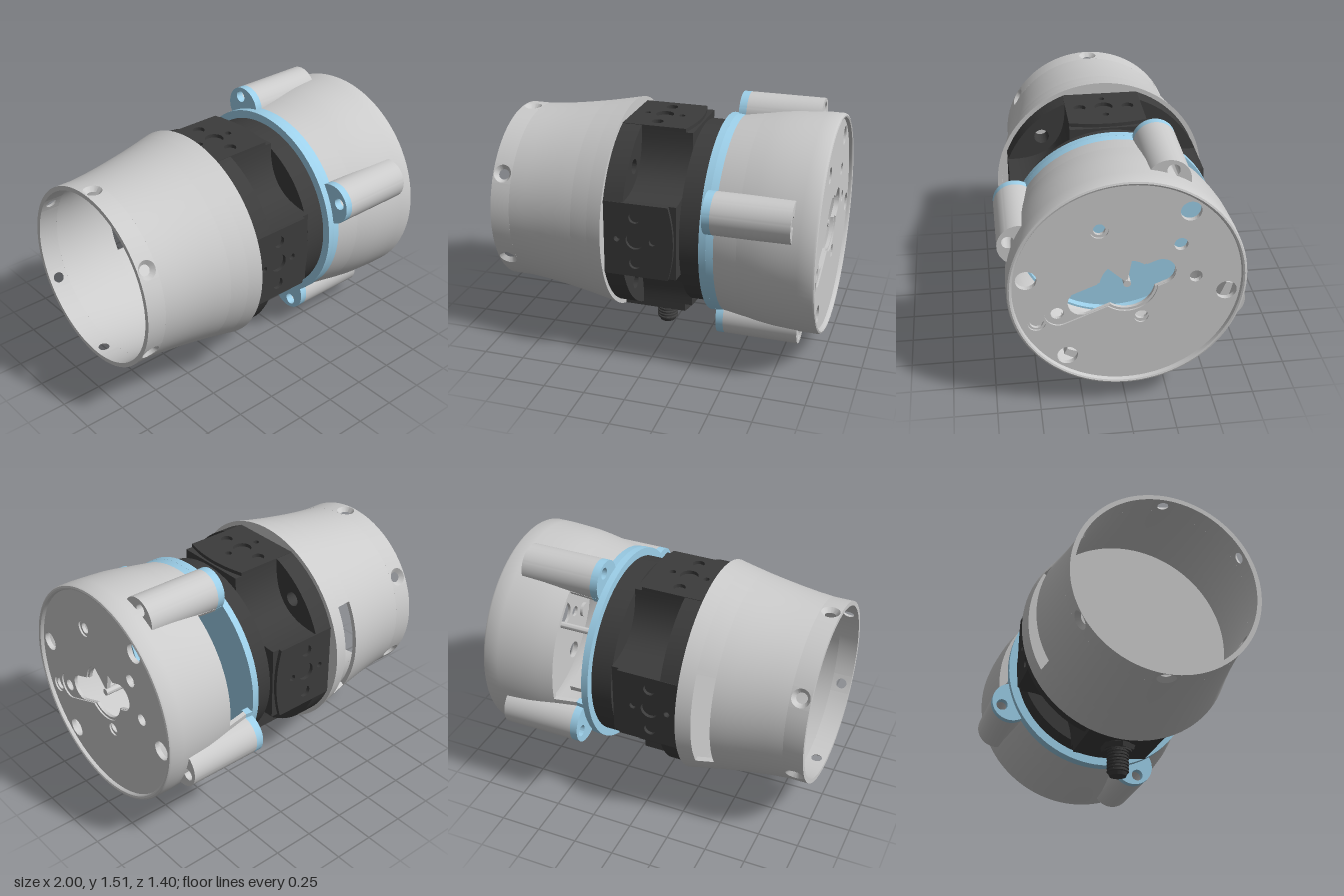
import * as THREE from 'three';
import { toCreasedNormals } from 'three/addons/utils/BufferGeometryUtils.js';
import { ParametricGeometry } from 'three/addons/geometries/ParametricGeometry.js';

const grey = new THREE.MeshStandardMaterial({ color: 0xcccccc, side: THREE.DoubleSide });
const dark = new THREE.MeshStandardMaterial({ color: 0x3c3c3c, side: THREE.DoubleSide });
const blue = new THREE.MeshStandardMaterial({ color: 0x9dd0ea, side: THREE.DoubleSide });
const rad = THREE.MathUtils.degToRad;
const V = (x, y) => new THREE.Vector2(x, y);

const circle = (x, y, r) => new THREE.Path().absarc(x, y, r, 0, Math.PI * 2);
const disc = (x, y, r) => new THREE.Shape().absarc(x, y, r, 0, Math.PI * 2);

// Plate: shape across the main axis, spanning z0..z1 along it
function plate(shape, z0, z1, segments = 24) {
  const g = new THREE.ExtrudeGeometry(shape, { depth: z1 - z0, bevelEnabled: false, curveSegments: segments });
  return g.translate(0, 0, z0);
}

// Closed [radius, z] profile swept around the main axis from a0 to a1 degrees
function sweep(profile, a0 = 0, a1 = 360) {
  const span = rad(a1 - a0);
  const g = new THREE.ExtrudeGeometry(new THREE.Shape(profile.map(p => V(...p))), {
    depth: span, steps: Math.max(2, Math.round((a1 - a0) / 3.75)), bevelEnabled: false,
  });
  const p = g.attributes.position;
  for (let i = 0; i < p.count; i++) {
    const r = p.getX(i), z = p.getY(i), a = rad(a1) - p.getZ(i);
    p.setXYZ(i, r * Math.cos(a), r * Math.sin(a), z);
  }
  return g;
}

// Small curved wall patch around a countersunk hole
function holePatch(angle, z, half, rIn, rOut) {
  return new ParametricGeometry((u, v, out) => {
    const row = Math.round(v * 4), c = Math.cos(u * 2 * Math.PI), s = Math.sin(u * 2 * Math.PI);
    const square = half / Math.max(Math.abs(c), Math.abs(s));
    const d = [square, 0.033, 0.055, square, square][row];
    const r = [rIn, rIn, rOut, rOut, rIn][row];
    const a = angle + d * c / rOut;
    out.set(r * Math.cos(a), r * Math.sin(a), z + d * s);
  }, 40, 4);
}

// Keyhole outline: a round middle with an arm to each side, tilted
function keyhole(left, right, arm, middle) {
  const b = Math.asin(arm / middle), p = new THREE.Path();
  p.absarc(right, 0, arm, -Math.PI / 2, Math.PI / 2).absarc(0, 0, middle, b, Math.PI - b);
  p.absarc(left, 0, arm, Math.PI / 2, Math.PI * 1.5).absarc(0, 0, middle, Math.PI + b, 2 * Math.PI - b);
  return new THREE.Path(p.getPoints(16).map(q => q.rotateAround(V(0, 0), rad(22))));
}

export function createModel() {
  const model = new THREE.Group();
  // Main axis runs along the group's z, turned to lie along x
  const axis = new THREE.Group();
  axis.name = 'mainAxis';
  axis.rotation.y = Math.PI / 2;
  axis.position.y = 0.81;
  model.add(axis);
  const add = (name, geometry, material) => {
    const mesh = new THREE.Mesh(toCreasedNormals(geometry, 0.5), material);
    mesh.name = name;
    axis.add(mesh);
  };

  // Flared rear shell: a band of screw holes, then the flare with a slot at the back
  const rOut = 0.557, rIn = 0.53, half = 0.06, gap = THREE.MathUtils.radToDeg(half / rOut);
  for (let i = 0; i < 6; i++) {
    const a = 30 + i * 60;
    add('shellScrewHole', holePatch(rad(a), -0.94, half, rIn, rOut), grey);
    add('shellRim', sweep([[rIn, -1], [rOut, -1], [rOut, -0.88], [rIn, -0.88]], a + gap, a + 60 - gap), grey);
  }
  const wall = pts => [...pts, ...pts.map(([r, z]) => [r - 0.027, z]).reverse()];
  add('shellFlare', sweep(wall([[rOut, -0.88], [0.566, -0.78], [0.58, -0.67], [0.597, -0.56], [0.614, -0.46]])), grey);
  add('shellSlotBand', sweep(wall([[0.614, -0.46], [0.636, -0.35]]), 30, 330), grey);
  add('shellEdge', sweep(wall([[0.636, -0.35], [0.655, -0.26]])), grey);
  add('shellEndPlate', plate(disc(0, 0, 0.632), -0.275, -0.262, 48), grey);

  // Dark joint body: round flange with four flats, then a core with scooped corners
  const flangePts = [], corePts = [];
  const scoop = new THREE.QuadraticBezierCurve(V(0.565, 0.23), V(0.225, 0.225), V(0.23, 0.565)).getPoints(14);
  for (let k = 0; k < 4; k++) {
    const turn = p => p.rotateAround(V(0, 0), k * Math.PI / 2);
    for (const p of [[0.545, -0.23], [0.545, 0.23]]) flangePts.push(turn(V(...p)));
    for (let j = 0; j <= 10; j++) {
      const a = rad(21.5 + j * 4.7);
      flangePts.push(turn(V(0.628 * Math.cos(a), 0.628 * Math.sin(a))));
    }
    for (const p of scoop) corePts.push(turn(p.clone()));
  }
  const flange = new THREE.Shape(flangePts);
  for (let k = 0; k < 4; k++) {
    const a = rad(45 + 90 * k);
    flange.holes.push(circle(0.53 * Math.cos(a), 0.53 * Math.sin(a), 0.045));
  }
  add('bodyFlange', plate(flange, -0.26, -0.14), dark);
  add('bodyCore', plate(new THREE.Shape(corePts), -0.14, 0.175), dark);

  // Mounting pads on the four flats; the lower one is thicker and plain for the connector
  for (let k = 0; k < 4; k++) {
    const pad = new THREE.Shape();
    pad.moveTo(-0.23, -0.26).lineTo(0.23, -0.26).lineTo(0.23, 0.13);
    pad.quadraticCurveTo(0, 0.195, -0.23, 0.13);
    if (k > 0) {
      for (const [t, x, r] of [[0, -0.07, 0.055], [0.145, -0.07, 0.036], [-0.145, -0.07, 0.036], [0, -0.18, 0.018], [0, 0.037, 0.02]])
        pad.holes.push(circle(t, x, r));
    }
    const g = plate(pad, 0, k ? 0.042 : 0.067).rotateX(Math.PI / 2).translate(0, -0.545, 0).rotateZ(k * Math.PI / 2);
    add('mountingPad', g, dark);
  }

  // Threaded cable connector under the body
  const thread = [V(0, -0.81), V(0.05, -0.81), V(0.058, -0.79)];
  for (let y = -0.785; y < -0.66; y += 0.02) thread.push(V(0.066, y), V(0.066, y + 0.008), V(0.058, y + 0.012), V(0.058, y + 0.018));
  thread.push(V(0.085, -0.66), V(0.085, -0.6));
  add('connectorThread', new THREE.LatheGeometry(thread, 32).translate(0, 0, -0.055), dark);
  add('connectorNut', new THREE.CylinderGeometry(0.108, 0.1, 0.03, 6).translate(0, -0.635, -0.055), dark);

  // Rotating neck and disc
  add('neck', plate(disc(0, 0, 0.36), 0.17, 0.2, 32), dark);
  add('rotorDisc', plate(disc(0, 0, 0.56), 0.19, 0.325, 48), dark);

  // Blue adapter plate with a collar that is open behind the window
  const open = [56.25, 352.5];
  add('adapterPlate', plate(disc(0, 0, 0.61), 0.32, 0.362, 48), blue);
  add('adapterCollar', sweep([[0.565, 0.36], [0.61, 0.36], [0.605, 0.405], [0.565, 0.405]], ...open), blue);

  // Front cup with a window at the back
  add('cupWindowBand', sweep(wall([[0.605, 0.405], [0.616, 0.47], [0.628, 0.545]]), ...open), grey);
  add('cup', sweep([[0.628, 0.545], [0.643, 0.63], [0.654, 0.71], [0.66, 0.8], [0.665, 0.9], [0.665, 0.985], [0.66, 0.996],
    [0.65, 1], [0.64, 0.996], [0.635, 0.985], [0.635, 0.9], [0.625, 0.7], [0.601, 0.545]]), grey);

  // Four screw lugs growing out of the cup wall, each with a blue foot
  for (let k = 0; k < 4; k++) {
    const a = rad(68 + 90 * k), c = Math.cos(a), s = Math.sin(a);
    const lug = new THREE.Shape().absarc(0.62 * c, 0.62 * s, 0.125, a - rad(108), a + rad(108));
    lug.holes.push(circle(0.687 * c, 0.687 * s, 0.036));
    add('lugFoot', plate(lug, 0.36, 0.406), blue);
    add('lug', plate(lug, 0.406, 0.86), grey);
  }

  // Face plate with screw holes and keyhole slot, under a thin layer with wider recesses
  const face = disc(0, 0, 0.64), faceLayer = disc(0, 0, 0.64);
  for (const deg of [53, 172, 233, 352]) {
    const a = rad(deg);
    for (const shape of [face, faceLayer]) shape.holes.push(circle(0.561 * Math.cos(a), 0.561 * Math.sin(a), 0.058));
  }
  for (const [x, y, r, wide] of [[-0.155, 0.365, 0.033, 0.05], [0.29, 0.245, 0.038, 0.038], [0.38, 0.03, 0.036, 0.036],
    [-0.505, -0.21, 0.038, 0.05]]) {
    face.holes.push(circle(x, y, r));
    faceLayer.holes.push(circle(x, y, wide));
  }
  for (const [x, y] of [[-0.39, -0.16], [0.08, -0.2]]) face.holes.push(circle(x, y, 0.036));
  face.holes.push(keyhole(-0.27, 0.2, 0.08, 0.155));
  faceLayer.holes.push(keyhole(-0.41, 0.2, 0.082, 0.17), circle(0.08, -0.215, 0.04));
  add('facePlate', plate(face, 0.945, 0.965, 48), grey);
  add('faceLayer', plate(faceLayer, 0.965, 0.975, 48), grey);
  add('blindHoleFloor', plate(disc(-0.505, -0.21, 0.05), 0.925, 0.946), grey);

  // Latch sector and pin seen through the slot
  const sector = new THREE.Shape([V(0, 0)]);
  for (let d = 80; d <= 136; d += 7) sector.lineTo(0.154 * Math.cos(rad(d)), 0.154 * Math.sin(rad(d)));
  add('latchSector', plate(sector, 0.925, 0.95), grey);
  add('latchPin', plate(disc(0, 0, 0.021), 0.36, 0.96), grey);
  return model;
}
